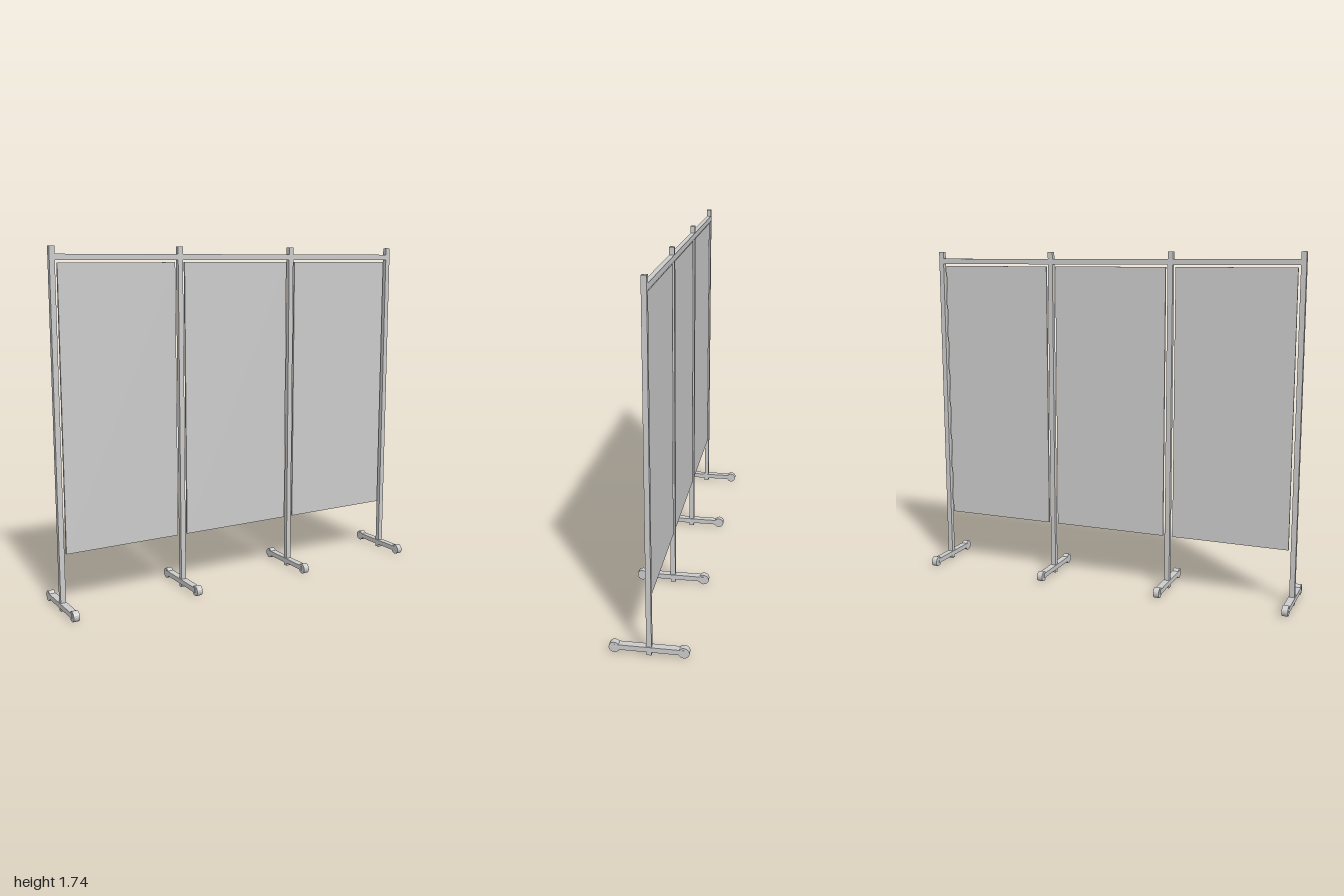
import * as THREE from 'three';

export function createModel() {
  const group = new THREE.Group();
  group.name = 'foldingScreen';
  const grey = new THREE.MeshStandardMaterial({ color: 0xcccccc, flatShading: true });

  const add = (parent, name, geometry, x, y, z) => {
    const mesh = new THREE.Mesh(geometry, grey);
    mesh.name = name;
    mesh.position.set(x, y, z);
    parent.add(mesh);
    return mesh;
  };

  const spacing = 0.655;
  const height = 1.735;
  const postWidth = 0.026;
  const postGeo = new THREE.BoxGeometry(postWidth, height, 0.024);
  const footGeo = new THREE.BoxGeometry(0.034, 0.025, 0.32);
  const wheelGeo = new THREE.CylinderGeometry(0.026, 0.026, 0.03, 16).rotateZ(Math.PI / 2);
  const railGeo = new THREE.BoxGeometry(spacing - postWidth, 0.028, 0.024);
  const panelGeo = new THREE.BoxGeometry(0.603, 1.38, 0.01);

  // Four posts, each on a cross foot with a wheel at both ends
  for (let i = 0; i < 4; i++) {
    const stand = new THREE.Group();
    stand.name = 'stand';
    stand.position.x = (i - 1.5) * spacing;
    add(stand, 'post', postGeo, 0, height / 2, 0);
    add(stand, 'foot', footGeo, 0, 0.03, 0);
    for (const side of [-1, 1]) add(stand, 'wheel', wheelGeo, 0, 0.027, side * 0.16);
    group.add(stand);
  }

  // Three bays, each with a top rail and a thin hanging panel
  for (let i = -1; i <= 1; i++) {
    add(group, 'topRail', railGeo, i * spacing, 1.685, 0);
    add(group, 'panel', panelGeo, i * spacing, 0.97, 0);
  }
  return group;
}
